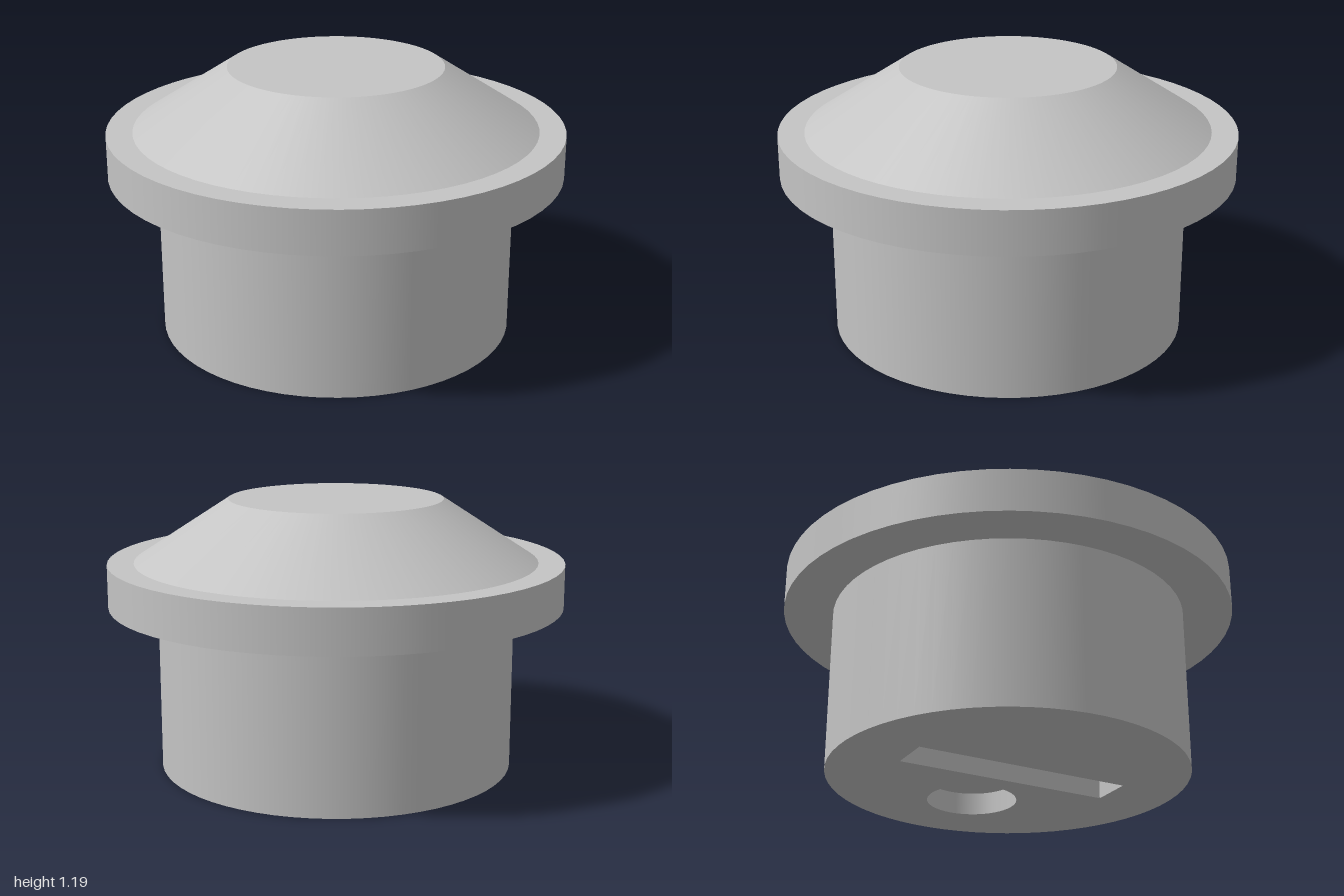
import * as THREE from 'three';

const SEG = 64;
const STEM_R = 0.784;
const STEM_TOP = 0.73;
const FLANGE_TOP = 0.92;
const TOP = 1.19;
const POCKET = 0.1;
const HOLE = { x: 0.34, r: 0.2 };
const SLOT = { x: -0.052, w: 0.19, l: 0.98 };

// Turns a solid inside out and removes its bottom face, leaving a recess
function recess(geo, bottomGroup) {
  const { start, count } = geo.groups[bottomGroup];
  const index = Array.from(geo.index.array);
  index.splice(start, count);
  geo.clearGroups();
  geo.setIndex(index.reverse());
  const n = geo.attributes.normal;
  for (let i = 0; i < n.count; i++) n.setXYZ(i, -n.getX(i), -n.getY(i), -n.getZ(i));
  return geo;
}

export function createModel() {
  const group = new THREE.Group();
  group.name = 'plug';
  const grey = new THREE.MeshStandardMaterial({ color: 0xc4c4c4 });
  grey.name = 'grey';

  const add = (name, geo, x = 0, y = 0) => {
    const mesh = new THREE.Mesh(geo, grey);
    mesh.name = name;
    mesh.position.set(x, y, 0);
    group.add(mesh);
  };
  const drum = (name, rTop, rBottom, y0, y1, open = false) =>
    add(name, new THREE.CylinderGeometry(rTop, rBottom, y1 - y0, SEG, 1, open), 0, (y0 + y1) / 2);

  // Stem, flange and sloping cap
  drum('stem', STEM_R, STEM_R, 0, STEM_TOP, true);
  drum('flange', 1, 1, STEM_TOP, FLANGE_TOP);
  drum('cap', 0.47, 0.885, FLANGE_TOP, TOP);

  // Underside with a round and a slotted opening
  const base = new THREE.Shape().absarc(0, 0, STEM_R, 0, Math.PI * 2);
  const round = new THREE.Path().absarc(HOLE.x, 0, HOLE.r, 0, Math.PI * 2, true);
  const x0 = SLOT.x - SLOT.w / 2, x1 = SLOT.x + SLOT.w / 2, z = SLOT.l / 2;
  const slot = new THREE.Path().moveTo(x0, -z).lineTo(x0, z).lineTo(x1, z).lineTo(x1, -z).closePath();
  base.holes.push(round, slot);
  add('underside', new THREE.ShapeGeometry(base, SEG / 2).rotateX(Math.PI / 2));

  // Shallow recesses behind the openings
  add('roundRecess', recess(new THREE.CylinderGeometry(HOLE.r, HOLE.r, POCKET, SEG), 2), HOLE.x, POCKET / 2);
  add('slotRecess', recess(new THREE.BoxGeometry(SLOT.w, POCKET, SLOT.l), 3), SLOT.x, POCKET / 2);

  return group;
}
